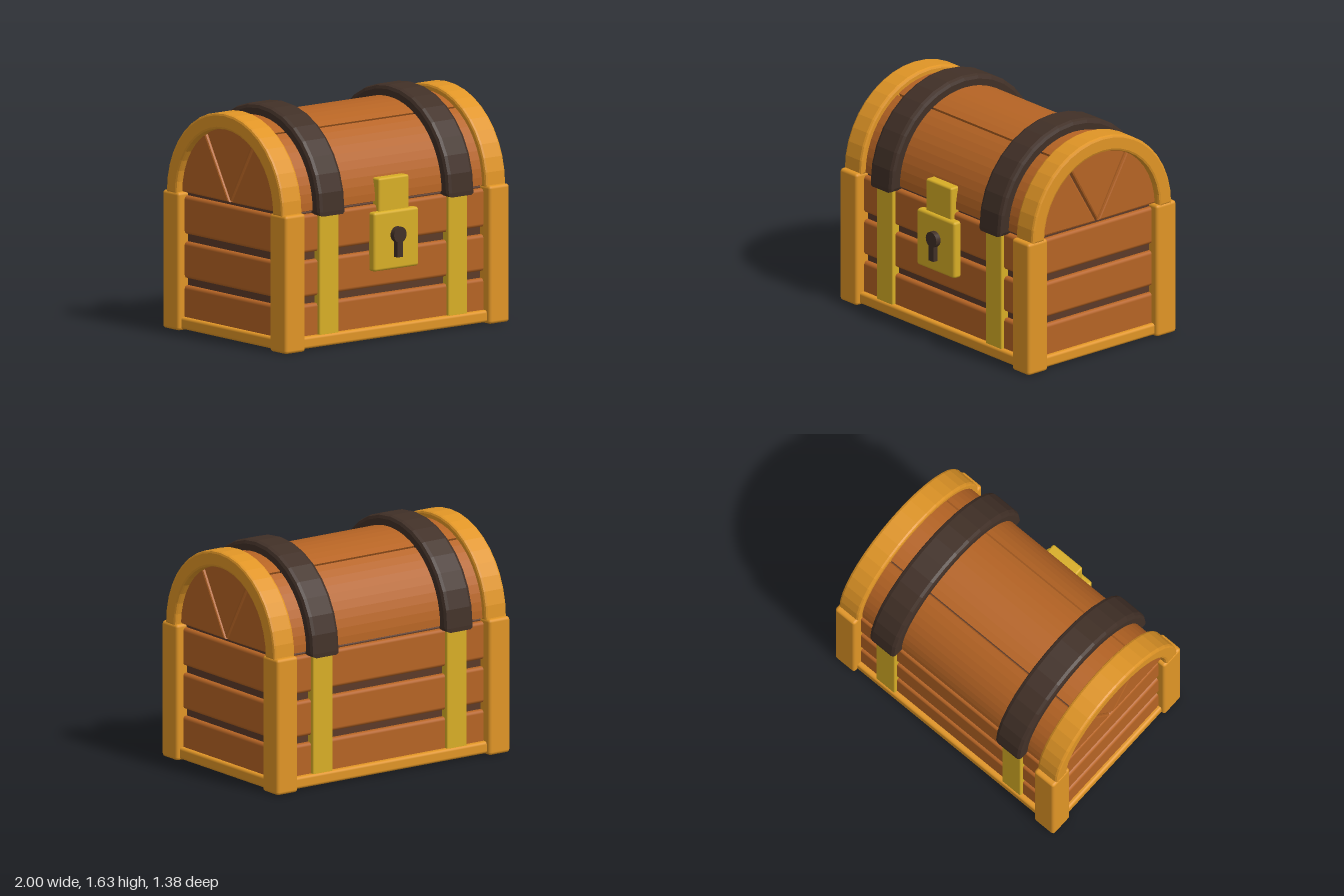
import * as THREE from 'three';
import { RoundedBoxGeometry } from 'three/addons/geometries/RoundedBoxGeometry.js';

function material(name, color) {
  const m = new THREE.MeshStandardMaterial({ color });
  m.name = name;
  return m;
}

export function createModel() {
  const wood = material('wood', 0xb66424);
  const trim = material('orangeTrim', 0xe09526);
  const brass = material('brass', 0xd8ae26);
  const iron = material('darkIron', 0x413027);
  const gap = material('darkWood', 0x5c3a28);

  const model = new THREE.Group();
  model.name = 'treasureChest';
  const chest = new THREE.Group();
  chest.name = 'chest';
  chest.position.z = -0.013;
  model.add(chest);

  const HINGE = 0.96; // height of the lid's centre

  function add(name, geometry, mat, x = 0, y = 0, z = 0) {
    const mesh = new THREE.Mesh(geometry, mat);
    mesh.name = name;
    mesh.position.set(x, y, z);
    chest.add(mesh);
    return mesh;
  }

  // Softened box given by its width, bottom, top and depth
  function box(name, mat, x, width, y0, y1, z, depth, radius) {
    const g = new RoundedBoxGeometry(width, y1 - y0, depth, 2, radius);
    return add(name, g, mat, x, (y0 + y1) / 2, z);
  }

  // Extrudes a profile along x with its bevel kept inside the outline
  function alongX(shape, width, bevel, inset, curveSegments) {
    const g = new THREE.ExtrudeGeometry(shape, {
      depth: width - 2 * bevel, bevelThickness: bevel, bevelSize: bevel,
      bevelOffset: -bevel - inset, bevelSegments: 2, curveSegments,
    });
    g.translate(0, 0, -width / 2 + bevel);
    return g.rotateY(Math.PI / 2);
  }

  // Half ring, optionally with short straight legs
  function archShape(outer, inner, drop) {
    const s = new THREE.Shape();
    s.moveTo(outer, -drop);
    s.lineTo(outer, 0);
    s.absarc(0, 0, outer, 0, Math.PI, false);
    s.lineTo(-outer, -drop);
    s.lineTo(-inner, -drop);
    s.lineTo(-inner, 0);
    s.absarc(0, 0, inner, Math.PI, 0, true);
    s.lineTo(inner, -drop);
    return s;
  }

  // Dark cores seen in the gaps between planks
  box('bodyCore', gap, 0, 1.83, 0.05, HINGE, 0, 1.14, 0.01);
  const core = new THREE.CylinderGeometry(0.565, 0.565, 1.83, 48).rotateZ(Math.PI / 2);
  add('lidCore', core, gap, 0, HINGE, 0);

  // Base and body planks
  box('baseRim', trim, 0, 1.95, 0.01, 0.095, 0, 1.285, 0.02);
  for (const [y0, y1] of [[0.07, 0.315], [0.365, 0.622], [0.675, 0.945]]) {
    box('bodyPlank', wood, 0, 1.89, y0, y1, 0, 1.21, 0.025);
  }

  // Three wedge planks make the lid
  for (let i = 0; i < 3; i++) {
    const a = (i * Math.PI) / 3;
    const s = new THREE.Shape();
    s.moveTo(0, 0);
    s.lineTo(0.6 * Math.cos(a), 0.6 * Math.sin(a));
    s.absarc(0, 0, 0.6, a, a + Math.PI / 3, false);
    s.lineTo(0, 0);
    add('lidPlank', alongX(s, 1.89, 0.015, 0.008, 5), wood, 0, HINGE, 0);
  }

  for (const side of [-1, 1]) {
    // Corner posts and end arches
    for (const face of [-1, 1]) {
      box('cornerPost', trim, side * 0.91, 0.18, 0, 0.97, face * 0.585, 0.18, 0.022);
      box('brassStrip', brass, side * 0.575, 0.17, 0.085, 0.95, face * 0.58, 0.1, 0.01);
    }
    add('lidArch', alongX(archShape(0.637, 0.522, 0.005), 0.178, 0.018, 0, 10),
      trim, side * 0.908, HINGE, 0);
    // Iron straps over the lid
    add('lidStrap', alongX(archShape(0.67, 0.56, 0.03), 0.235, 0.03, 0, 8),
      iron, side * 0.575, HINGE, 0);
  }

  // Lock with clasp and keyhole
  box('lockPlate', brass, 0, 0.4, 0.485, 0.9, 0.628, 0.07, 0.02);
  box('lockClasp', brass, 0, 0.27, 0.85, 1.13, 0.595, 0.08, 0.015);
  const hole = new THREE.CylinderGeometry(0.056, 0.056, 0.08, 24).rotateX(Math.PI / 2);
  add('keyholeRound', hole, iron, 0, 0.73, 0.662);
  add('keyholeSlot', new THREE.BoxGeometry(0.05, 0.14, 0.08), iron, 0, 0.643, 0.662);

  return model;
}
